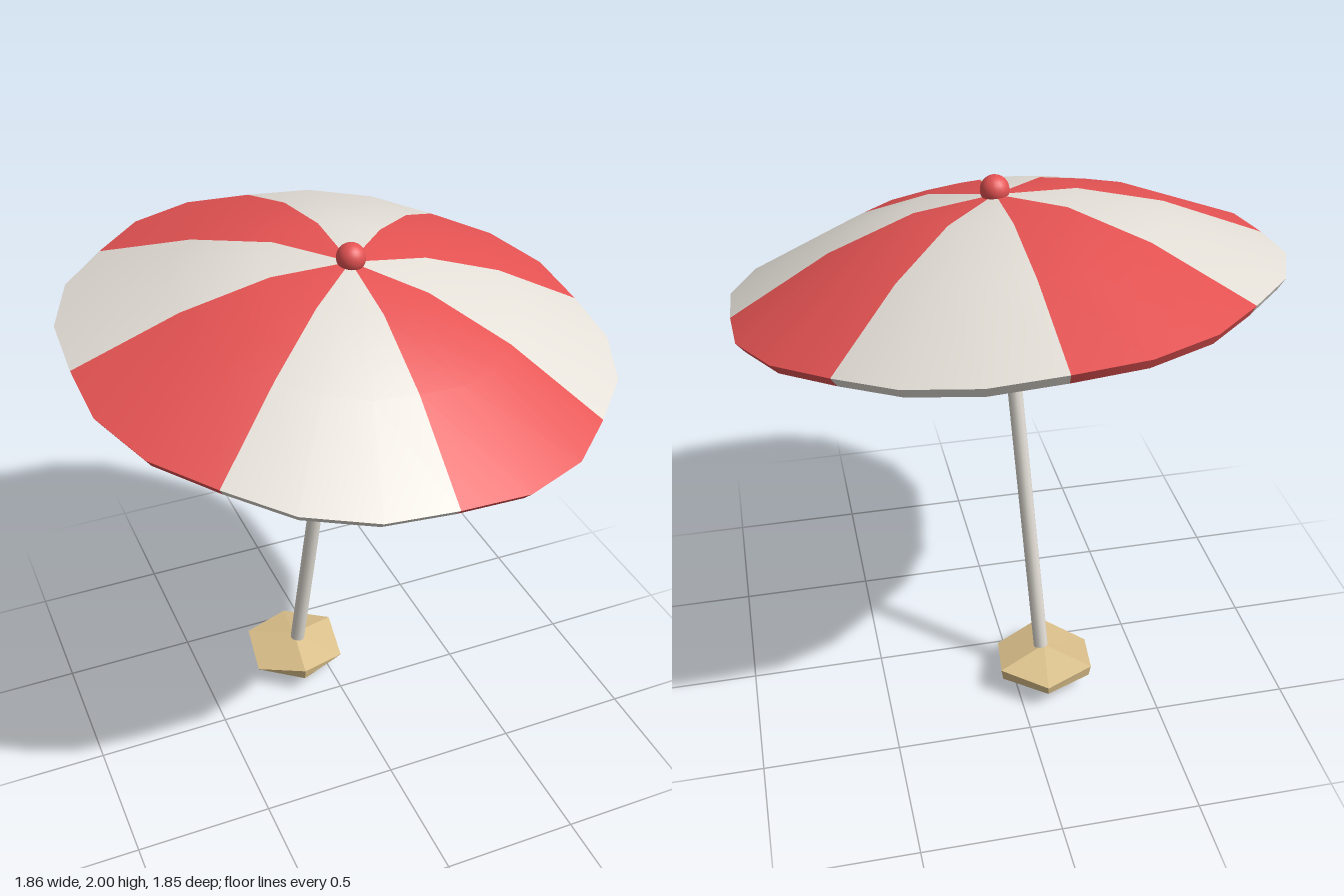
import * as THREE from 'three';

const material = (name, color, flatShading = false) => {
  const m = new THREE.MeshStandardMaterial({ color, flatShading });
  m.name = name;
  return m;
};

// One eighth of the canopy shell: underside, rim edge and top in one closed profile.
function panelGeometry(start) {
  const profile = [
    [0, -0.04], [0.28, -0.06], [0.575, -0.152], [0.908, -0.316], [0.908, -0.316],
    [0.934, -0.28], [0.934, -0.28], [0.58, -0.112], [0.28, -0.021], [0, 0],
  ].map(([r, y]) => new THREE.Vector2(r, y));
  const geo = new THREE.LatheGeometry(profile, 3, start, Math.PI / 4);
  // Columns between the seams bulge outwards a little.
  const pos = geo.attributes.position;
  for (let i = 0; i < pos.count; i++) {
    const column = Math.floor(i / profile.length);
    if (column === 1 || column === 2) {
      pos.setX(i, pos.getX(i) * 1.025);
      pos.setZ(i, pos.getZ(i) * 1.025);
    }
  }
  return geo;
}

// Low six-sided heap with an uneven rim and a flat base.
function moundGeometry() {
  const heights = [0.045, 0.01, 0.045, 0.035, 0.045, 0.008];
  const ring = (scale, useHeight) => heights.map((h, i) => {
    const a = (-8 + i * 60) * Math.PI / 180;
    return [Math.sin(a) * 0.2 * scale, useHeight ? h : 0, Math.cos(a) * 0.2 * scale];
  });
  const top = ring(1, true), base = ring(0.96, false);
  const points = [];
  for (let i = 0; i < 6; i++) {
    const j = (i + 1) % 6;
    points.push([0, 0.08, 0], top[i], top[j]);
    points.push(base[i], base[j], top[j], base[i], top[j], top[i]);
    points.push([0, 0, 0], base[j], base[i]);
  }
  const geo = new THREE.BufferGeometry();
  geo.setAttribute('position', new THREE.Float32BufferAttribute(points.flat(), 3));
  geo.computeVertexNormals();
  return geo;
}

export function createModel() {
  const red = material('red cloth', 0xe65353);
  const cream = material('cream', 0xe4dfd7);
  const sand = material('sand', 0xdabf8a, true);

  const model = new THREE.Group();
  model.name = 'beachUmbrella';
  const add = (parent, name, geo, mat, x, y, z) => {
    const mesh = new THREE.Mesh(geo, mat);
    mesh.name = name;
    mesh.position.set(x, y, z);
    parent.add(mesh);
    return mesh;
  };

  // Leaning assembly, with its origin at the foot of the pole
  const umbrella = new THREE.Group();
  umbrella.name = 'umbrella';
  umbrella.position.set(-0.117, 0.004, -0.225);
  umbrella.rotation.set(0.137, 0, -0.069);
  model.add(umbrella);

  add(umbrella, 'pole', new THREE.CylinderGeometry(0.026, 0.028, 1.93, 12), cream, 0, 0.965, 0);

  const canopy = new THREE.Group();
  canopy.name = 'canopy';
  canopy.position.y = 1.954;
  umbrella.add(canopy);
  for (let i = 0; i < 8; i++) {
    add(canopy, 'canopyPanel' + (i + 1), panelGeometry(i * Math.PI / 4), i % 2 ? cream : red, 0, 0, 0);
  }

  add(umbrella, 'finial', new THREE.SphereGeometry(0.05, 20, 14), red, 0, 1.971, 0);

  // Heap of sand around the pole
  add(model, 'sandMound', moundGeometry(), sand, -0.117, 0.07, -0.22);

  return model;
}
